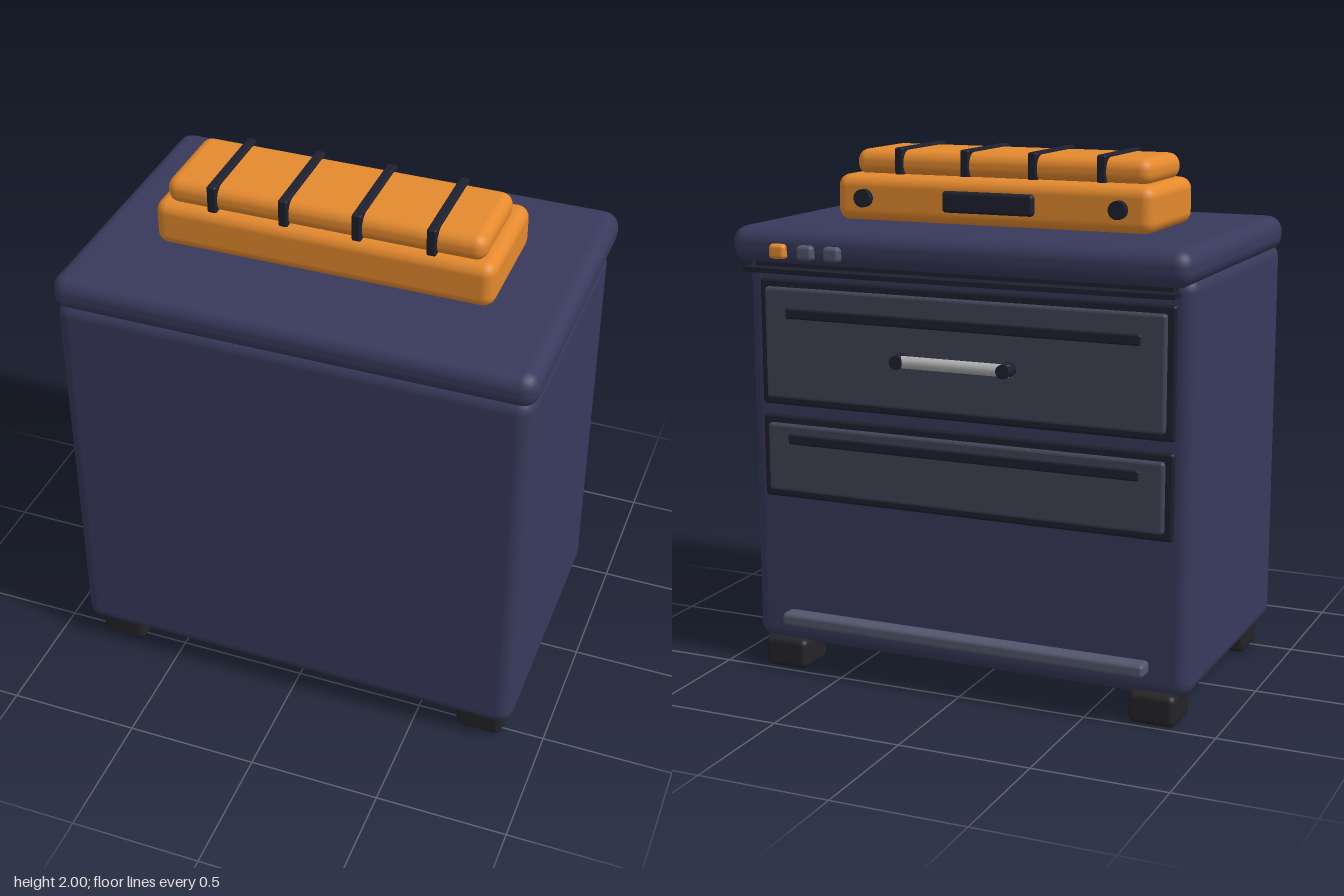
import * as THREE from 'three';
import { RoundedBoxGeometry } from 'three/addons/geometries/RoundedBoxGeometry.js';

const mat = (color) => new THREE.MeshStandardMaterial({ color });
const navy = mat(0x383a5c), orange = mat(0xe58a2e), dark = mat(0x1e202e), rubber = mat(0x242428);
const slate = mat(0x414455), steel = mat(0x52566c), silver = mat(0xb0b0b0);

export function createModel() {
  const model = new THREE.Group();

  const add = (name, geometry, material, x = 0, y = 0, z = 0, parent = model) => {
    const mesh = new THREE.Mesh(geometry, material);
    mesh.name = name;
    mesh.position.set(x, y, z);
    parent.add(mesh);
    return mesh;
  };
  // Rounded box given by its centre x, width, and y and z ranges
  const block = (name, material, x, width, [y0, y1], [z0, z1], radius, parent = model) =>
    add(name, new RoundedBoxGeometry(width, y1 - y0, z1 - z0, 3, radius), material,
      x, (y0 + y1) / 2, (z0 + z1) / 2, parent);
  const group = (name) => {
    const g = new THREE.Group();
    g.name = name;
    model.add(g);
    return g;
  };

  // Cabinet and lid
  block('cabinetBody', navy, 0, 1.77, [0.1, 1.63], [-0.47, 0.595], 0.06);
  block('lid', navy, 0, 1.79, [1.595, 1.73], [-0.575, 0.6], 0.06);

  // Feet
  for (const x of [-0.75, 0.75])
    for (const z of [-0.4, 0.46])
      block('foot', rubber, x, 0.18, [0, 0.12], [z - 0.09, z + 0.09], 0.025);

  // Trim under the lid with a slightly bowed finger lip
  block('lidTrim', dark, 0, 1.64, [1.57, 1.61], [-0.51, -0.46], 0.006);
  const lip = new THREE.Shape();
  lip.moveTo(-0.84, 0.51);
  lip.lineTo(0.84, 0.51);
  lip.lineTo(0.84, 0.565);
  lip.quadraticCurveTo(0, 0.593, -0.84, 0.565);
  const lipGeometry = new THREE.ExtrudeGeometry(lip, { depth: 0.018, bevelEnabled: false });
  lipGeometry.rotateX(-Math.PI / 2);
  add('fingerLip', lipGeometry, dark, 0, 1.562, 0);

  // Push buttons on the lid edge
  [[0.455, steel], [0.565, steel], [0.68, orange]].forEach(([x, material]) =>
    block('button', material, x, 0.066, [1.62, 1.675], [-0.6, -0.55], 0.015));

  // Drawers: dark surround, raised panel and a slot strip
  const drawer = (name, y0, y1, slotY) => {
    const g = group(name);
    block('surround', dark, 0, 1.64, [y0, y1], [-0.485, -0.455], 0.012, g);
    block('panel', slate, 0, 1.58, [y0 + 0.03, y1 - 0.03], [-0.506, -0.465], 0.012, g);
    block('slot', dark, 0, 1.4, [slotY - 0.02, slotY + 0.02], [-0.512, -0.49], 0.008, g);
    return g;
  };
  const upper = drawer('upperDrawer', 1.05, 1.53, 1.405);
  drawer('lowerDrawer', 0.69, 1.01, 0.925);

  // Drawer handle
  for (const x of [-0.21, 0.21]) {
    const post = new THREE.CylinderGeometry(0.026, 0.026, 0.08, 16);
    post.rotateX(Math.PI / 2);
    add('handlePost', post, dark, x, 1.268, -0.536, upper);
  }
  const bar = new THREE.CylinderGeometry(0.023, 0.023, 0.45, 16);
  bar.rotateZ(Math.PI / 2);
  add('handleBar', bar, silver, 0, 1.268, -0.55, upper);

  // Kick rail
  block('kickRail', steel, 0, 1.47, [0.19, 0.24], [-0.535, -0.46], 0.015);

  // Case on top of the lid
  const topCase = group('topCase');
  block('caseBase', orange, 0, 1.27, [1.725, 1.9], [-0.22, 0.25], 0.045, topCase);
  block('caseCushion', orange, 0, 1.19, [1.89, 1.99], [-0.138, 0.228], 0.045, topCase);
  for (const x of [-0.41, -0.14, 0.133, 0.405])
    block('strap', dark, x, 0.036, [1.895, 2], [-0.143, 0.24], 0.008, topCase);
  block('gripPlate', dark, 0, 0.365, [1.775, 1.855], [-0.24, -0.2], 0.014, topCase);
  for (const x of [-0.51, 0.51]) {
    const knob = new THREE.CylinderGeometry(0.034, 0.034, 0.05, 18);
    knob.rotateX(Math.PI / 2);
    add('caseKnob', knob, dark, x, 1.815, -0.223, topCase);
  }

  return model;
}
